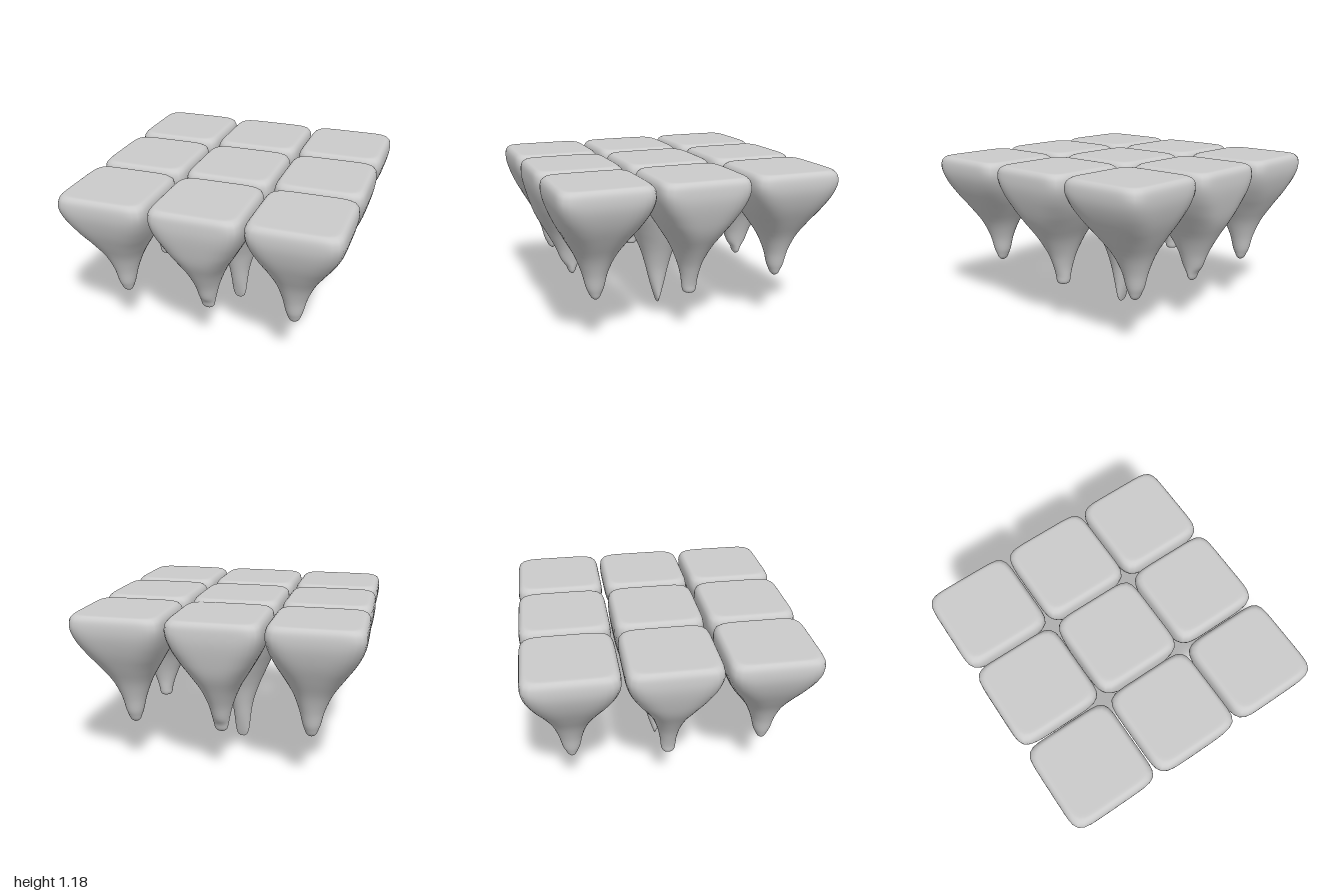
import * as THREE from 'three';

const SEGS = 64, RINGS = 44;

// Cross-section keys from the top edge to the tip: height, half width, squareness.
// "wide" keeps a full belly, "slim" pinches in early, "deep" is the long middle spike.
const TOP = [[1.18, 0.265, 7], [1.176, 0.295, 7], [1.15, 0.317, 8], [1.1, 0.325, 8]];
const HEIGHTS = [1.03, 0.92, 0.8, 0.67, 0.54, 0.44];
const SQUARE = [6, 4, 2.8, 2.3, 2, 2];
const WIDE = [0.323, 0.3, 0.26, 0.185, 0.115, 0.075];
const SLIM = [0.318, 0.28, 0.215, 0.138, 0.087, 0.062];
const DEEP = [0.325, 0.31, 0.28, 0.228, 0.172, 0.13];

// One tile: rounded square on top, lofted down into an off-centre spike.
function tileGeometry(profileX, profileZ, tail, shiftX, shiftZ) {
  const keys = TOP.map(([y, w, n]) => [y, w, w, n]);
  HEIGHTS.forEach((y, i) => keys.push([y, profileX[i], profileZ[i], SQUARE[i]]));
  tail.forEach(([y, wx, wz]) => keys.push([y, wx, wz, 2]));
  const curve = new THREE.CatmullRomCurve3(
    keys.map(([y, wx, wz]) => new THREE.Vector3(wx, y, wz)), false, 'centripetal');

  const pos = [0, 1.18, 0], index = [];
  for (let r = 0; r <= RINGS; r++) {
    const t = r / RINGS, f = t * (keys.length - 1);
    const k = Math.min(Math.floor(f), keys.length - 2);
    const n = THREE.MathUtils.lerp(keys[k][3], keys[k + 1][3], f - k);
    const p = curve.getPoint(t);
    const lean = THREE.MathUtils.smoothstep(1.1 - p.y, 0, 0.6);
    for (let s = 0; s < SEGS; s++) {
      const a = (s / SEGS) * Math.PI * 2, c = Math.cos(a), d = Math.sin(a);
      const q = 1 / Math.pow(Math.abs(c) ** n + Math.abs(d) ** n, 1 / n);
      pos.push(c * q * p.x + shiftX * lean, p.y, d * q * p.z + shiftZ * lean);
    }
  }
  const last = keys[keys.length - 1];
  pos.push(shiftX, last[0], shiftZ);
  const end = pos.length / 3 - 1;

  for (let s = 0; s < SEGS; s++) {
    const s2 = (s + 1) % SEGS;
    index.push(0, 1 + s2, 1 + s);
    for (let r = 0; r < RINGS; r++) {
      const a = 1 + r * SEGS + s, b = 1 + r * SEGS + s2;
      index.push(a, b, a + SEGS, b, b + SEGS, a + SEGS);
    }
    const base = 1 + RINGS * SEGS;
    index.push(end, base + s, base + s2);
  }
  const g = new THREE.BufferGeometry();
  g.setAttribute('position', new THREE.Float32BufferAttribute(pos, 3));
  g.setIndex(index);
  g.computeVertexNormals();
  return g;
}

export function createModel() {
  const group = new THREE.Group();
  group.name = 'hangingStoneTiles';
  const material = new THREE.MeshStandardMaterial({ color: 0xcccccc });

  // Spike ends: height, half width in x, half width in z
  const tails = {
    centre: [[0.3, 0.085, 0.09], [0.17, 0.065, 0.058], [0.06, 0.052, 0.025],
      [0.015, 0.036, 0.009], [0, 0.015, 0.003]],
    side: [[0.37, 0.054, 0.054], [0.33, 0.048, 0.048], [0.314, 0.038, 0.038], [0.31, 0.02, 0.02]],
    end: [[0.39, 0.053, 0.04], [0.35, 0.042, 0.024], [0.335, 0.025, 0.012], [0.33, 0.01, 0.005]],
    corner: [[0.4, 0.048, 0.045], [0.37, 0.036, 0.03], [0.355, 0.02, 0.015], [0.35, 0.008, 0.006]],
  };

  for (const i of [-1, 0, 1]) {
    for (const j of [-1, 0, 1]) {
      const kind = i && j ? 'corner' : i ? 'side' : j ? 'end' : 'centre';
      const px = kind === 'centre' ? DEEP : kind === 'side' ? WIDE : SLIM;
      const pz = kind === 'centre' ? DEEP : kind === 'end' ? WIDE : SLIM;
      const tile = new THREE.Mesh(
        tileGeometry(px, pz, tails[kind], i * 0.03, j * 0.02), material);
      tile.name = `${kind}Tile`;
      tile.position.set(i * 0.664, 0, j * 0.672);
      // Mirror the lean so spikes sit slightly inward in x and outward in z
      if (i) tile.geometry.scale(-1, 1, -1);
      if (i && j) tile.geometry.translate(0, 0, 0).scale(1, 1, 1);
      if (i && j) leanOut(tile.geometry, j * 0.04);
      group.add(tile);
    }
  }
  return group;
}

// Shear the lower part of a tile along z
function leanOut(geometry, amount) {
  const p = geometry.attributes.position;
  for (let v = 0; v < p.count; v++) {
    p.setZ(v, p.getZ(v) + amount * THREE.MathUtils.smoothstep(1.1 - p.getY(v), 0, 0.6));
  }
  geometry.computeVertexNormals();
}
